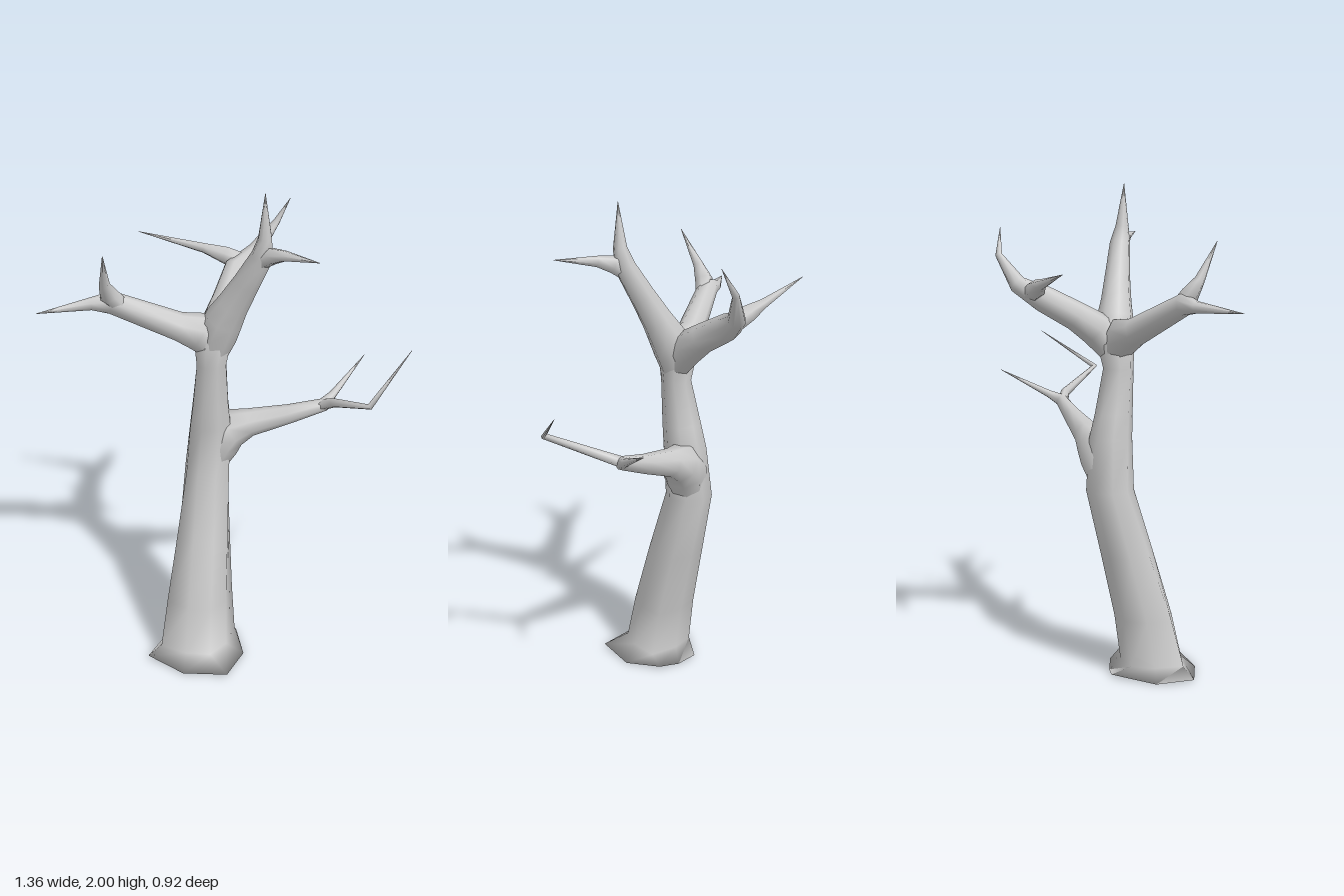
import * as THREE from 'three';

const bark = new THREE.MeshStandardMaterial({ color: 0xcccccc });

// Skin a list of equal-length rings (counter-clockwise about the growth direction)
function loft(name, rings) {
  const n = rings[0].length, pos = [], index = [];
  rings.forEach((ring) => ring.forEach((p) => pos.push(p.x, p.y, p.z)));
  for (let i = 0; i < rings.length - 1; i++) {
    for (let j = 0; j < n; j++) {
      const a = i * n + j, b = i * n + (j + 1) % n;
      index.push(a, b, b + n, a, b + n, a + n);
    }
  }
  const geo = new THREE.BufferGeometry();
  geo.setAttribute('position', new THREE.Float32BufferAttribute(pos, 3));
  geo.setIndex(index);
  geo.computeVertexNormals();
  const mesh = new THREE.Mesh(geo, bark);
  mesh.name = name;
  return mesh;
}

// Tapering limb through [x, y, z, radius] stations
function limb(name, stations, sides = 8) {
  const pts = stations.map((s) => new THREE.Vector3(s[0], s[1], s[2]));
  const normal = new THREE.Vector3(0.13, 0.2, 0.97);
  const rings = pts.map((p, i) => {
    const t = new THREE.Vector3();
    if (i > 0) t.add(p.clone().sub(pts[i - 1]).normalize());
    if (i < pts.length - 1) t.add(pts[i + 1].clone().sub(p).normalize());
    t.normalize();
    normal.addScaledVector(t, -normal.dot(t)).normalize();
    const side = t.clone().cross(normal);
    const r = Math.max(stations[i][3], 0.0008);
    return Array.from({ length: sides }, (_, k) => {
      const a = (k / sides) * Math.PI * 2;
      return p.clone().addScaledVector(normal, r * Math.cos(a)).addScaledVector(side, r * Math.sin(a));
    });
  });
  return loft(name, rings);
}

export function createModel() {
  const tree = new THREE.Group();
  tree.name = 'bareTree';

  // Trunk: closed irregular root flare, a diamond-like lower section, rounder towards the top
  const foot = [[-0.35, 0.11], [-0.25, 0.26], [-0.09, 0.35], [0.035, 0.23],
    [0.065, 0.08], [0.01, 0.005], [-0.05, -0.055], [-0.24, 0.0]];
  const base = foot.map(([x, z], i) => new THREE.Vector3(x, i % 2 ? 0 : 0.012, z));
  const middle = foot.map(() => new THREE.Vector3(-0.13, 0.008, 0.14));
  // x, y, z, radius along x, radius along z, radius on the diagonals
  const trunkRings = [
    [-0.125, 0.055, 0.115, 0.167, 0.136, 0.128], [-0.105, 0.25, 0.085, 0.146, 0.126, 0.119],
    [-0.065, 0.52, 0.028, 0.117, 0.112, 0.108], [-0.024, 0.79, -0.032, 0.09, 0.095, 0.097],
    [-0.015, 1.0, -0.017, 0.087, 0.087, 0.087], [-0.02, 1.1, -0.003, 0.075, 0.078, 0.076],
    [-0.025, 1.28, 0.02, 0.062, 0.06, 0.061], [-0.015, 1.38, 0.014, 0.08, 0.075, 0.075],
    [0, 1.47, 0.01, 0.055, 0.05, 0.05], [0, 1.495, 0.01, 0.001, 0.001, 0.001],
  ].map(([x, y, z, rx, rz, rd]) => foot.map((_, k) => {
    const a = Math.PI - (k / 8) * Math.PI * 2;
    return new THREE.Vector3(x + (k % 2 ? rd : rx) * Math.cos(a), y, z + (k % 2 ? rd : rz) * Math.sin(a));
  }));
  tree.add(loft('trunk', [middle, base, ...trunkRings]));

  // A branch is a bough plus a twig; both begin inside their parent and swell out of it
  const addBranch = (name, bough, twig) => {
    const group = new THREE.Group();
    group.name = name;
    group.add(limb(name + 'Bough', bough), limb(name + 'Twig', twig, 6));
    tree.add(group);
  };

  // Upper branch to the right side, forked
  addBranch('rightBranch',
    [[-0.01, 1.35, 0.012, 0.06], [-0.07, 1.415, 0, 0.076],
      [-0.145, 1.438, -0.02, 0.056], [-0.4, 1.56, -0.06, 0.043], [-0.47, 1.555, -0.085, 0.024],
      [-0.68, 1.545, -0.09, 0]],
    [[-0.36, 1.54, -0.05, 0.034], [-0.41, 1.595, -0.042, 0.037],
      [-0.435, 1.65, -0.015, 0.021], [-0.46, 1.79, 0.06, 0]]);

  // Upright front branch with a forward spike
  addBranch('frontBranch',
    [[-0.018, 1.32, 0.018, 0.058], [-0.002, 1.4, 0.025, 0.078], [0.015, 1.47, 0.05, 0.075],
      [0.037, 1.54, 0.085, 0.062], [0.07, 1.64, 0.135, 0.051], [0.105, 1.76, 0.195, 0.042],
      [0.107, 1.83, 0.211, 0.027], [0.102, 2, 0.217, 0]],
    [[0.095, 1.73, 0.18, 0.033], [0.122, 1.77, 0.235, 0.034],
      [0.15, 1.785, 0.29, 0.021], [0.215, 1.8, 0.44, 0]]);

  // Back branch with a hooked end and a long backward spike
  addBranch('backBranch',
    [[0, 1.36, 0.01, 0.06], [0.035, 1.435, -0.04, 0.07],
      [0.09, 1.49, -0.105, 0.058], [0.17, 1.56, -0.205, 0.052], [0.27, 1.613, -0.243, 0.035],
      [0.365, 1.725, -0.248, 0.014], [0.4, 1.83, -0.2, 0]],
    [[0.21, 1.58, -0.225, 0.038], [0.15, 1.603, -0.268, 0.037],
      [0.08, 1.625, -0.32, 0.021], [-0.15, 1.68, -0.46, 0]]);

  // Lower branch to the left side, with a straight tip and a bent twig
  addBranch('lowerBranch',
    [[-0.01, 0.82, -0.03, 0.07], [0.02, 0.91, -0.02, 0.093],
      [0.07, 0.965, -0.005, 0.083], [0.14, 0.99, 0.025, 0.057], [0.28, 1.037, 0.1, 0.039],
      [0.4, 1.085, 0.163, 0.027], [0.45, 1.11, 0.14, 0.016], [0.64, 1.21, 0.04, 0]],
    [[0.385, 1.08, 0.155, 0.023], [0.418, 1.112, 0.21, 0.02],
      [0.448, 1.197, 0.445, 0.012], [0.675, 1.35, 0.345, 0]]);

  return tree;
}
